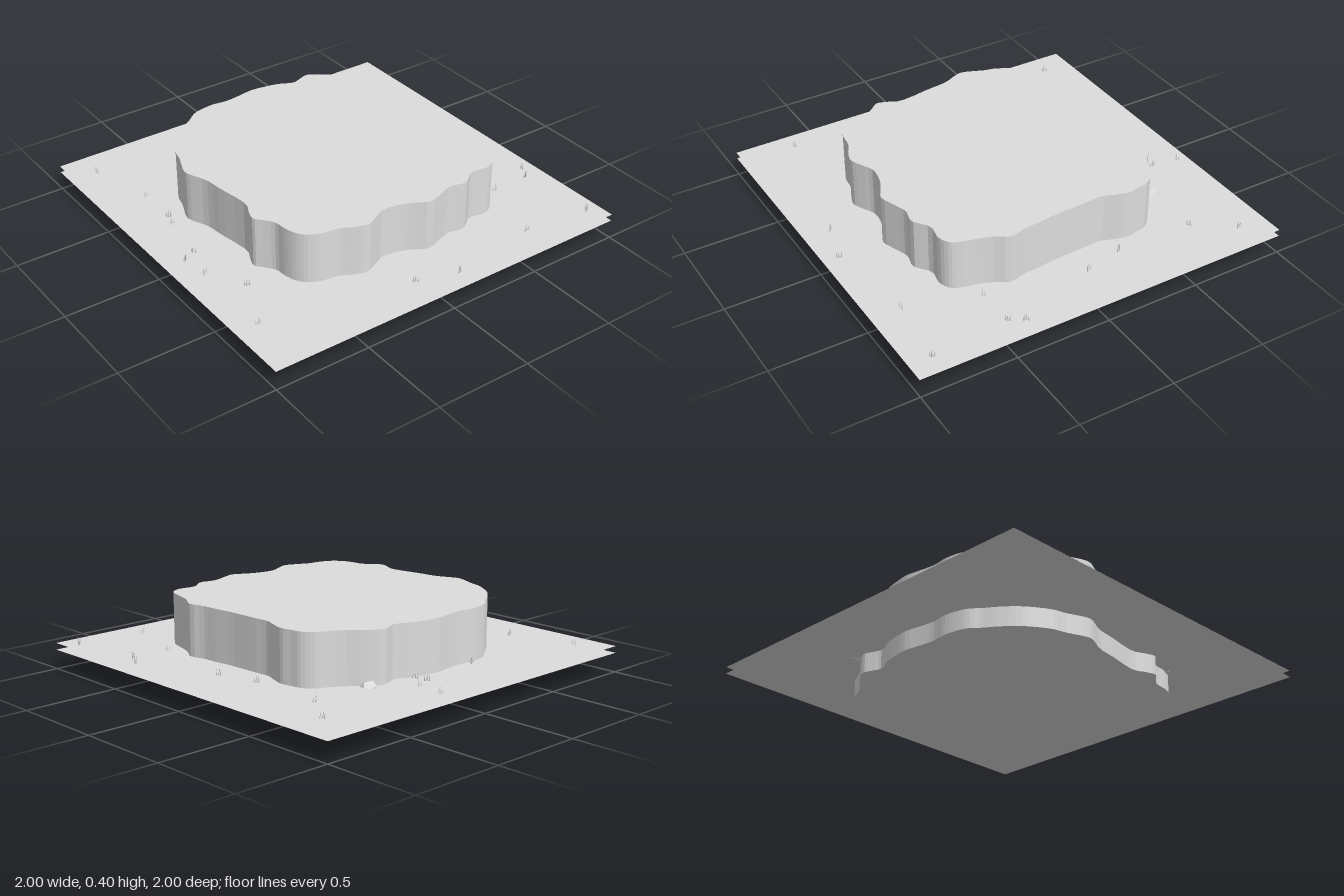
import * as THREE from 'three';

const WATER_Y = 0.135, BED_Y = 0.10;

// Small seeded random generator
function seeded(seed) {
  return () => {
    seed = (seed * 16807) % 2147483647;
    return seed / 2147483647;
  };
}

// Shore of the island as x, z pairs, clockwise seen from above
const SHORE = [
  0, -0.70, 0.08, -0.69, 0.15, -0.675, 0.23, -0.64, 0.28, -0.655, 0.33, -0.67, 0.38, -0.645,
  0.425, -0.61, 0.475, -0.565, 0.54, -0.525, 0.60, -0.495, 0.64, -0.445, 0.65, -0.39,
  0.66, -0.33, 0.64, -0.26, 0.618, -0.195, 0.623, -0.1, 0.628, 0.055, 0.64, 0.165, 0.645, 0.245,
  0.664, 0.33, 0.625, 0.40, 0.60, 0.47, 0.58, 0.55, 0.555, 0.595, 0.50, 0.62, 0.41, 0.61,
  0.325, 0.665, 0.245, 0.65, 0.165, 0.675, 0.085, 0.698, 0.03, 0.67, -0.035, 0.64, -0.14, 0.625,
  -0.205, 0.655, -0.27, 0.68, -0.335, 0.66, -0.40, 0.628, -0.485, 0.615, -0.545, 0.585,
  -0.58, 0.54, -0.597, 0.485, -0.605, 0.42, -0.64, 0.37, -0.67, 0.33, -0.655, 0.275, -0.63, 0.215,
  -0.655, 0.03, -0.67, -0.08, -0.708, -0.17, -0.713, -0.205, -0.67, -0.32, -0.655, -0.38,
  -0.605, -0.465, -0.56, -0.52, -0.49, -0.58, -0.43, -0.62, -0.38, -0.66, -0.325, -0.678,
  -0.25, -0.687, -0.17, -0.678, -0.09, -0.687,
];

// Grass clumps standing on the water, x, z
const GRASS = [
  [0.245, -0.945], [0.225, -0.795], [0.14, -0.765], [0.15, -0.70], [-0.24, -0.71], [-0.87, -0.835],
  [0.88, -0.845], [0.74, -0.645], [-0.78, -0.49], [-0.78, -0.265], [-0.80, -0.20], [-0.84, 0.07],
  [-0.91, 0.105], [-0.89, 0.255], [-0.78, 0.44], [-0.90, 0.71], [-0.135, 0.875], [0.08, 0.93],
  [0.565, 0.86], [0.925, 0.895], [0.89, 0.485], [0.935, 0.415], [0.68, 0.49], [0.78, -0.03],
  [0.725, -0.235],
];

// Flat star flowers, x, z
const STARS = [
  [-0.885, -0.815], [-0.89, -0.59], [-0.57, -0.68], [0.85, -0.215], [0.665, -0.105], [0.865, -0.02],
  [0.918, 0.073], [0.01, 0.778], [0.036, 0.778], [0.175, 0.94],
];

// Rocks along the shore: x, y, z, radius
const ROCKS = [
  [0.40, 0.12, -0.64, 0.052], [0.64, 0.115, -0.51, 0.023], [-0.73, 0.115, -0.2, 0.022],
  [-0.672, 0.115, 0.30, 0.012], [-0.595, 0.113, 0.52, 0.028], [0.065, 0.112, 0.70, 0.02],
  [0.028, 0.11, 0.675, 0.01], [0.40, 0.11, 0.625, 0.014],
];

export function createModel() {
  const model = new THREE.Group();
  model.name = 'island';
  const grey = new THREE.MeshStandardMaterial({ color: 0xdddddd, side: THREE.DoubleSide });
  grey.name = 'light grey';
  grey.flatShading = true;

  const add = (name, geometry, parent = model) => {
    const mesh = new THREE.Mesh(geometry, grey);
    mesh.name = name;
    parent.add(mesh);
    return mesh;
  };

  // Island block with a wavy shore
  const points = [];
  for (let i = 0; i < SHORE.length; i += 2) points.push(new THREE.Vector3(SHORE[i], -SHORE[i + 1], 0));
  const curve = new THREE.CatmullRomCurve3(points, true);
  const outline = curve.getPoints(180).slice(0, -1).map(p => new THREE.Vector2(p.x, p.y));
  const block = new THREE.ExtrudeGeometry(new THREE.Shape(outline), { depth: 0.4, bevelEnabled: false });
  add('plateau', block.rotateX(-Math.PI / 2));

  // Two thin square sheets, one just above the other
  for (const [name, y] of [['waterSheet', WATER_Y], ['bedSheet', BED_Y]]) {
    add(name, new THREE.PlaneGeometry(2, 2).rotateX(-Math.PI / 2)).position.y = y;
  }

  // Grass clumps of three slim blades
  const random = seeded(17);
  const blade = new THREE.ConeGeometry(0.006, 1, 4).translate(0, 0.5, 0);
  for (const [x, z] of GRASS) {
    const clump = new THREE.Group();
    clump.name = 'grassClump';
    clump.position.set(x, WATER_Y, z);
    clump.rotation.y = random() * Math.PI * 2;
    [[-0.011, 0.028], [0, 0.04], [0.011, 0.033]].forEach(([dx, height], i) => {
      const mesh = add('grassBlade', blade, clump);
      mesh.position.set(dx, 0, i === 1 ? 0.006 : 0);
      mesh.scale.y = height;
    });
    model.add(clump);
  }

  // Five-pointed flat flowers
  const star = new THREE.Shape();
  for (let i = 0; i < 10; i++) {
    const r = i % 2 ? 0.011 : 0.025, a = Math.PI / 2 + i * Math.PI / 5;
    star[i ? 'lineTo' : 'moveTo'](r * Math.cos(a), r * Math.sin(a));
  }
  const flower = new THREE.ShapeGeometry(star).rotateX(-Math.PI / 2);
  for (const [x, z] of STARS) add('starFlower', flower).position.set(x, WATER_Y + 0.003, z);

  // Faceted shore rocks
  const rock = new THREE.IcosahedronGeometry(1, 0);
  for (const [x, y, z, r] of ROCKS) {
    const mesh = add('shoreRock', rock);
    mesh.position.set(x, y, z);
    mesh.scale.set(r, r * 0.85, r);
    mesh.rotation.y = random() * Math.PI;
  }
  return model;
}
